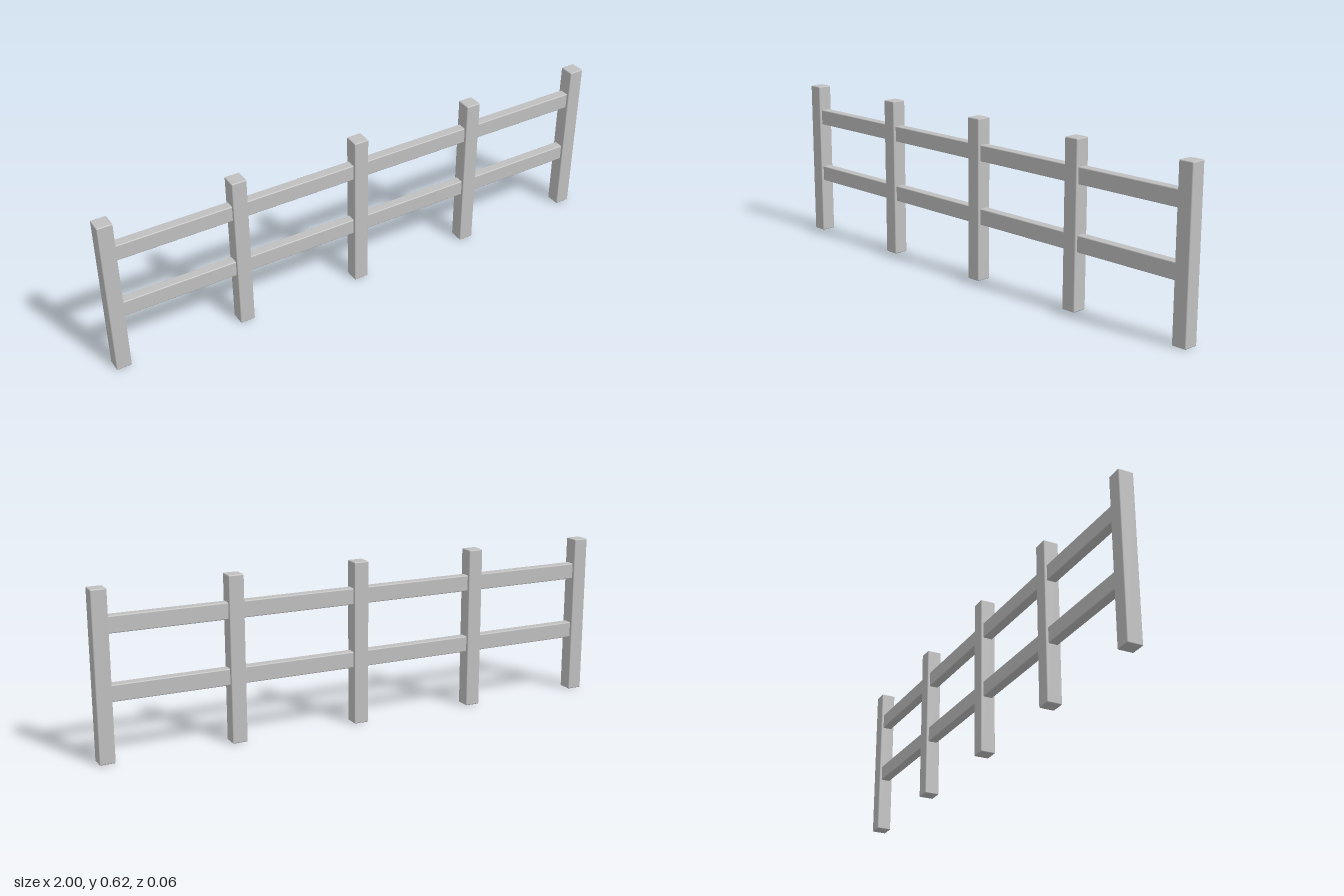
import * as THREE from 'three';
import { RoundedBoxGeometry } from 'three/addons/geometries/RoundedBoxGeometry.js';

export function createModel() {
  const fence = new THREE.Group();
  fence.name = 'fence';
  const grey = new THREE.MeshStandardMaterial({ color: 0xc0c0c0 });
  grey.name = 'grey';

  const postWidth = 0.057, postHeight = 0.615, spacing = 0.4857;
  const railHeight = 0.061, railDepth = 0.037;

  // Bar with slightly softened edges
  function addBar(name, width, height, depth, x, y) {
    const bar = new THREE.Mesh(new RoundedBoxGeometry(width, height, depth, 2, 0.004), grey);
    bar.name = name;
    bar.position.set(x, y, 0);
    fence.add(bar);
  }

  // Five evenly spaced square posts
  for (let i = -2; i <= 2; i++) {
    addBar('post', postWidth, postHeight, postWidth, i * spacing, postHeight / 2);
  }

  // Lower and upper rails, one length per bay, let into the posts
  for (const y of [0.247, 0.487]) {
    for (let i = -1.5; i <= 1.5; i++) {
      addBar('rail', spacing - postWidth + 0.02, railHeight, railDepth, i * spacing, y);
    }
  }
  return fence;
}
